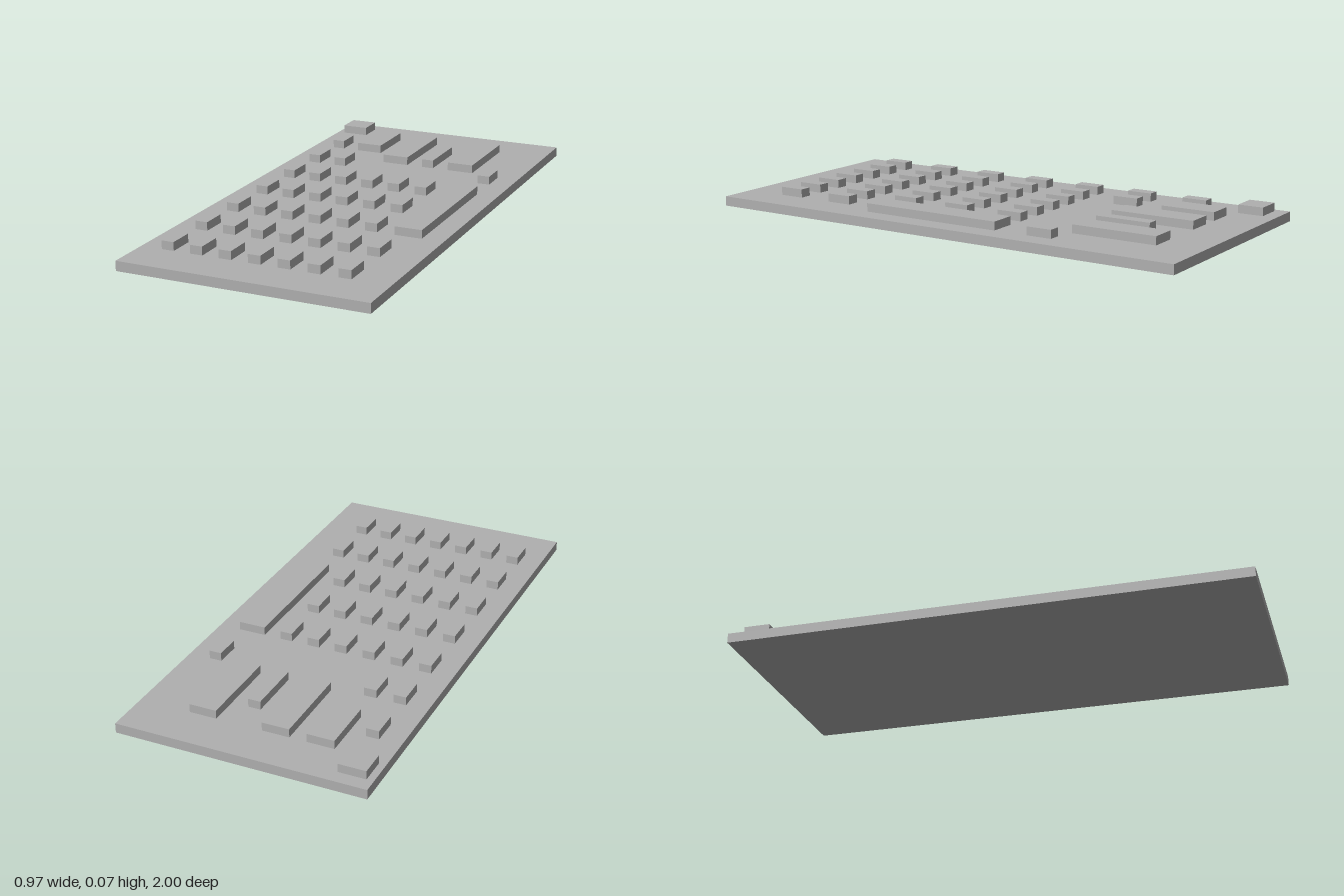
import * as THREE from 'three';

export function createModel() {
  const model = new THREE.Group();
  model.name = 'keypadBoard';
  const grey = new THREE.MeshStandardMaterial({ color: 0xb0b0b0 });
  grey.name = 'plain grey';

  const BASE = 0.038, TOP = 0.071;

  // Box spanning the given extents
  function block(name, x0, x1, y0, y1, z0, z1) {
    const mesh = new THREE.Mesh(new THREE.BoxGeometry(x1 - x0, y1 - y0, z1 - z0), grey);
    mesh.position.set((x0 + x1) / 2, (y0 + y1) / 2, (z0 + z1) / 2);
    mesh.name = name;
    model.add(mesh);
  }
  const raised = (name, x0, x1, z0, z1) => block(name, x0, x1, BASE, TOP, z0, z1);

  // Base plate
  block('basePlate', -0.485, 0.485, 0, BASE, -1, 1);

  // Small keys: number of keys in each row, back to front
  [1, 2, 6, 6, 6, 7, 7].forEach((count, row) => {
    const z = -0.71 + row * 0.2397;
    for (let col = 0; col < count; col++) {
      const x = -0.4 + col * 0.115;
      raised('key', x, x + 0.049, z, z + 0.102);
    }
  });
  raised('sideKey', 0.351, 0.4, -0.47, -0.368);

  // Larger blocks
  raised('cornerBlock', -0.458, -0.352, -0.946, -0.844);
  raised('shortBlock', -0.285, -0.178, -0.827, -0.608);
  raised('middleBlock', -0.112, -0.005, -0.827, -0.488);
  raised('narrowBlock', 0.061, 0.11, -0.71, -0.488);
  raised('rightBlock', 0.176, 0.283, -0.827, -0.488);
  raised('longBar', 0.292, 0.4, -0.23, 0.351);

  return model;
}
